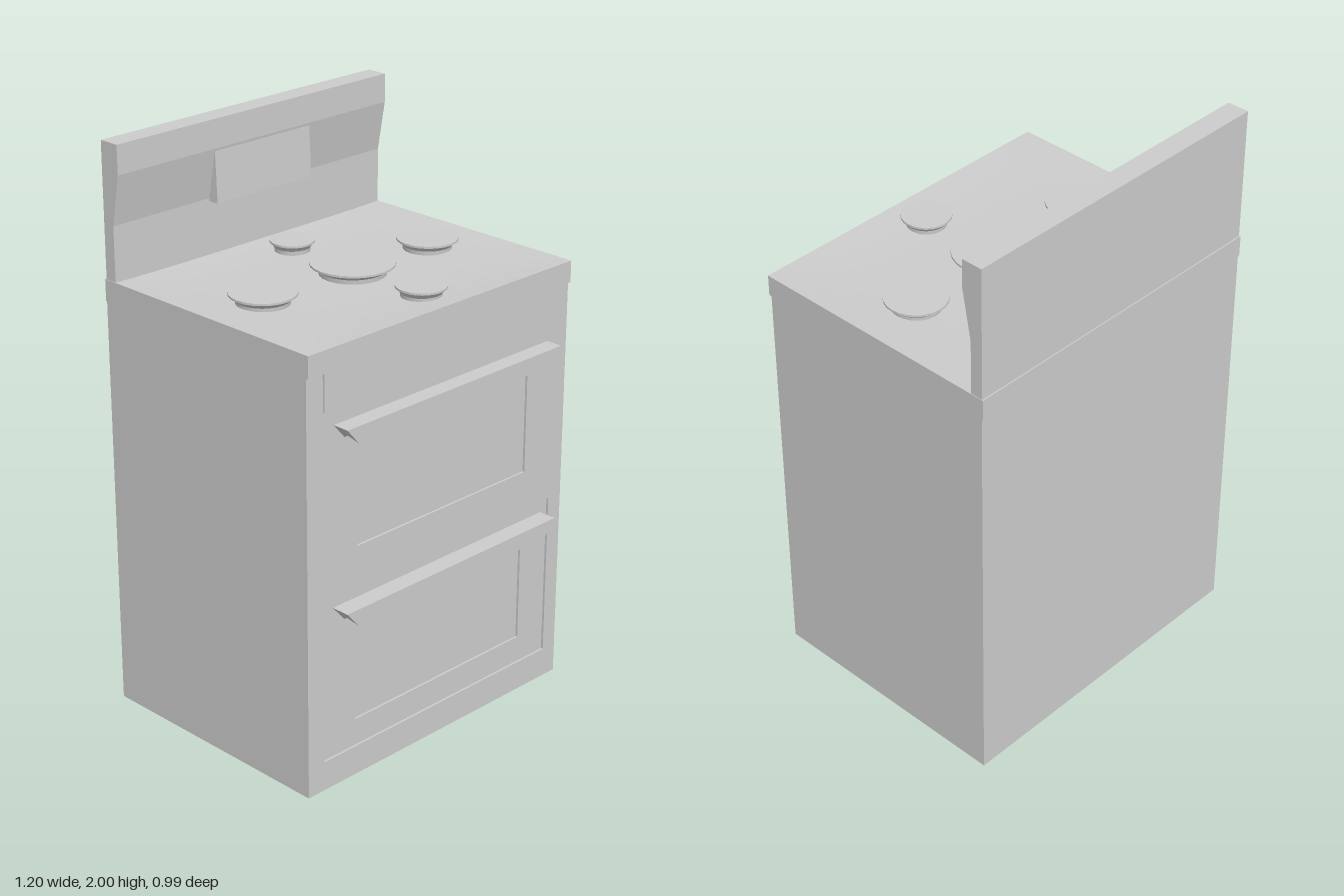
import * as THREE from 'three';
import { toCreasedNormals } from 'three/addons/utils/BufferGeometryUtils.js';

const material = new THREE.MeshStandardMaterial({ color: 0xcccccc });

function add(parent, name, geometry) {
  const mesh = new THREE.Mesh(geometry, material);
  mesh.name = name;
  parent.add(mesh);
  return mesh;
}

// Box given by its minimum and maximum on each axis
function box(x0, x1, y0, y1, z0, z1) {
  return new THREE.BoxGeometry(x1 - x0, y1 - y0, z1 - z0)
    .translate((x0 + x1) / 2, (y0 + y1) / 2, (z0 + z1) / 2);
}

// Extrude a [z, y] profile along x
function extrudeAlongX(profile, x0, x1) {
  const shape = new THREE.Shape(profile.map(([z, y]) => new THREE.Vector2(z, y)));
  return new THREE.ExtrudeGeometry(shape, { depth: x1 - x0, bevelEnabled: false })
    .rotateY(-Math.PI / 2).translate(x1, 0, 0);
}

function rectangle(Type, x0, x1, y0, y1) {
  return new Type([[x0, y0], [x1, y0], [x1, y1], [x0, y1]]
    .map(([x, y]) => new THREE.Vector2(x, y)));
}

// Flat plate with rectangular openings, lying from z0 to z1
function plate(outer, openings, z0, z1) {
  const shape = rectangle(THREE.Shape, ...outer);
  shape.holes = openings.map((o) => rectangle(THREE.Path, ...o));
  return new THREE.ExtrudeGeometry(shape, { depth: z1 - z0, bevelEnabled: false })
    .translate(0, 0, z0);
}

// Handle: notched underside, ends slanting inwards towards the bottom
function handleGeometry(top) {
  const bottom = top - 0.058;
  const geometry = extrudeAlongX([
    [0.43, bottom], [0.43, top], [0.495, top], [0.495, bottom], [0.463, bottom + 0.028],
  ].reverse(), -0.485, 0.505);
  const p = geometry.attributes.position;
  for (let i = 0; i < p.count; i++) {
    const inset = 0.05 * (top - p.getY(i)) / (top - bottom);
    p.setX(i, p.getX(i) - Math.sign(p.getX(i)) * inset);
  }
  geometry.computeVertexNormals();
  return geometry;
}

// Cooktop slab with a shallow dished top
function cooktopGeometry() {
  const geometry = new THREE.BoxGeometry(1.2, 0.075, 0.94, 16, 1, 16);
  const p = geometry.attributes.position;
  for (let i = 0; i < p.count; i++) {
    if (p.getY(i) < 0) continue;
    const u = 1 - (p.getX(i) / 0.6) ** 4;
    const v = 1 - (p.getZ(i) / 0.47) ** 4;
    p.setY(i, p.getY(i) - 0.012 * u * v);
  }
  geometry.translate(0, 1.4975, -0.025);
  geometry.computeVertexNormals();
  return geometry;
}

function burnerGeometry(r) {
  const profile = [[r * 0.78, 1.51], [r * 0.8, 1.538], [r * 0.88, 1.547],
    [r, 1.555], [r, 1.562], [0, 1.562]].map(([x, y]) => new THREE.Vector2(x, y));
  return toCreasedNormals(new THREE.LatheGeometry(profile, 24), 0.5);
}

export function createModel() {
  const stove = new THREE.Group();
  stove.name = 'stove';

  // Cabinet with stepped door recesses in its front
  const cabinet = new THREE.Group();
  cabinet.name = 'cabinet';
  stove.add(cabinet);
  const upperWindow = [-0.38, 0.41, 0.83, 1.19];
  const lowerWindow = [-0.38, 0.41, 0.2, 0.57];
  const lowerDoor = [-0.53, 0.54, 0.105, 0.69];
  add(cabinet, 'body', box(-0.6, 0.6, 0, 1.47, -0.49, 0.419));
  add(cabinet, 'lowerDoor', plate(lowerDoor, [lowerWindow], 0.419, 0.427));
  add(cabinet, 'frontFrame', plate([-0.6, 0.6, 0, 1.47], [upperWindow, lowerDoor], 0.419, 0.435));
  add(cabinet, 'upperWindow', box(-0.38, 0.41, 0.83, 1.19, 0.41, 0.427));
  add(cabinet, 'frontApron', box(-0.53, 0.545, 1.33, 1.47, 0.42, 0.442));

  // Door handles
  add(stove, 'upperHandle', handleGeometry(1.275));
  add(stove, 'lowerHandle', handleGeometry(0.647));

  // Cooktop and its five burners
  add(stove, 'cooktop', cooktopGeometry());
  const burners = [
    ['centreBurner', 0.03, 0, 0.142],
    ['rightBurner', -0.368, 0, 0.112],
    ['leftBurner', 0.383, 0, 0.105],
    ['backBurner', 0.045, -0.3, 0.076],
    ['frontBurner', 0.033, 0.305, 0.085],
  ];
  for (const [name, x, z, r] of burners) {
    add(stove, name, burnerGeometry(r)).position.set(x, 0, z);
  }

  // Back panel with an overhanging top and a control box in the middle
  add(stove, 'backPanel', extrudeAlongX([
    [-0.49, 1.48], [-0.445, 1.48], [-0.445, 1.725], [-0.413, 1.9], [-0.413, 2], [-0.49, 2],
  ], -0.598, 0.598));
  add(stove, 'controlBox', extrudeAlongX([
    [-0.46, 1.715], [-0.405, 1.715], [-0.413, 1.89], [-0.46, 1.89],
  ], -0.19, 0.235));

  return stove;
}
